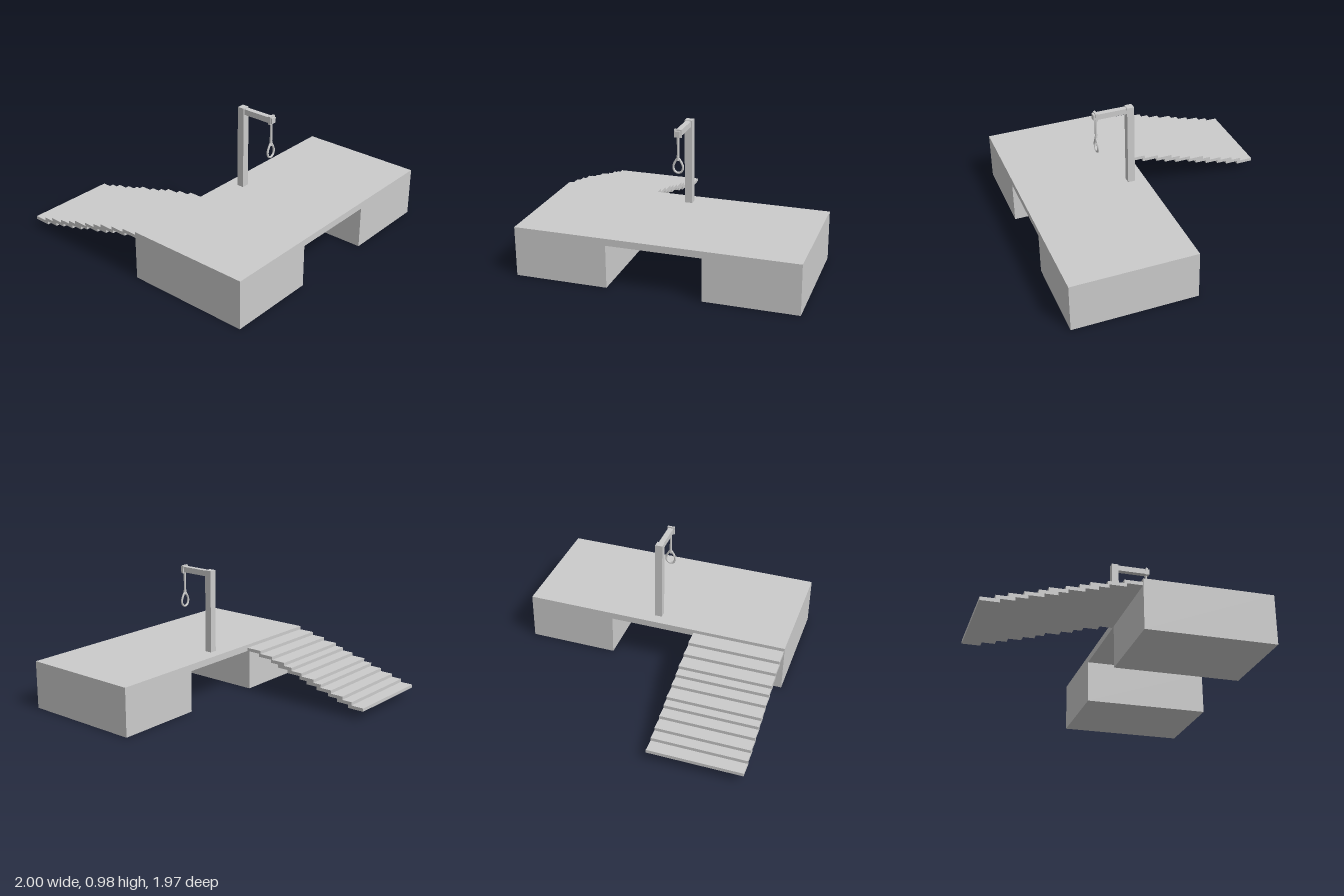
import * as THREE from 'three';

const mat = new THREE.MeshStandardMaterial({ color: 0xcccccc });

export function createModel() {
  const group = new THREE.Group();
  const add = (name, geo) => {
    const mesh = new THREE.Mesh(geo, mat);
    mesh.name = name;
    group.add(mesh);
    return mesh;
  };
  // Box given by its min and max along each axis
  const box = (name, x0, x1, y0, y1, z0, z1) =>
    add(name, new THREE.BoxGeometry(x1 - x0, y1 - y0, z1 - z0))
      .position.set((x0 + x1) / 2, (y0 + y1) / 2, (z0 + z1) / 2);

  // Platform: bridge-shaped section, open from front to back
  const section = new THREE.Shape([
    [-1, 0], [-0.335, 0], [-0.335, 0.31], [0.335, 0.31],
    [0.335, 0], [1, 0], [1, 0.36], [-1, 0.36],
  ].map(([x, y]) => new THREE.Vector2(x, y)));
  const platform = new THREE.ExtrudeGeometry(section, { depth: 0.92, bevelEnabled: false });
  add('platform', platform).position.z = 0.067;

  // Thin overlapping stair treads, descending behind the platform
  const treadEnds = [-0.06, -0.17, -0.285, -0.355, -0.445, -0.555, -0.62, -0.71, -0.81, -0.89, -0.988];
  treadEnds.forEach((z, i) => {
    const top = 0.335 - i * 0.0245;
    box('stairTread', -0.995, -0.31, top - 0.0245, top, z, z + 0.126);
  });

  // Post and overhanging beam
  box('post', -0.033, 0.022, 0.36, 0.98, 0.15, 0.203);
  box('beam', -0.026, 0.014, 0.933, 0.975, 0.2, 0.452);

  // Rope wrapped round the beam
  const cx = -0.006, rz = 0.43;
  const wrapShape = new THREE.Shape();
  const rect = (p, x, y0, y1) => p.moveTo(-x, y0).lineTo(x, y0).lineTo(x, y1).lineTo(-x, y1).closePath();
  rect(wrapShape, 0.027, 0.925, 0.984);
  const wrapHole = new THREE.Path();
  rect(wrapHole, 0.019, 0.934, 0.974);
  wrapShape.holes.push(wrapHole);
  add('ropeWrap', new THREE.ExtrudeGeometry(wrapShape, { depth: 0.016, bevelEnabled: false }))
    .position.set(cx, 0, rz - 0.008);

  // Hanging rope and knot
  const rope = add('rope', new THREE.CylinderGeometry(0.009, 0.009, 0.17, 12));
  rope.position.set(cx, 0.85, rz);
  const knot = add('knot', new THREE.CylinderGeometry(0.01, 0.012, 0.035, 12));
  knot.position.set(cx, 0.775, rz);

  // Teardrop loop
  const loop = new THREE.CatmullRomCurve3([
    [0, 0.775], [0.02, 0.752], [0.035, 0.712], [0.025, 0.68],
    [0, 0.668], [-0.025, 0.68], [-0.035, 0.712], [-0.02, 0.752],
  ].map(([x, y]) => new THREE.Vector3(cx + x, y, rz)), true);
  add('ropeLoop', new THREE.TubeGeometry(loop, 40, 0.008, 10, true));

  return group;
}
